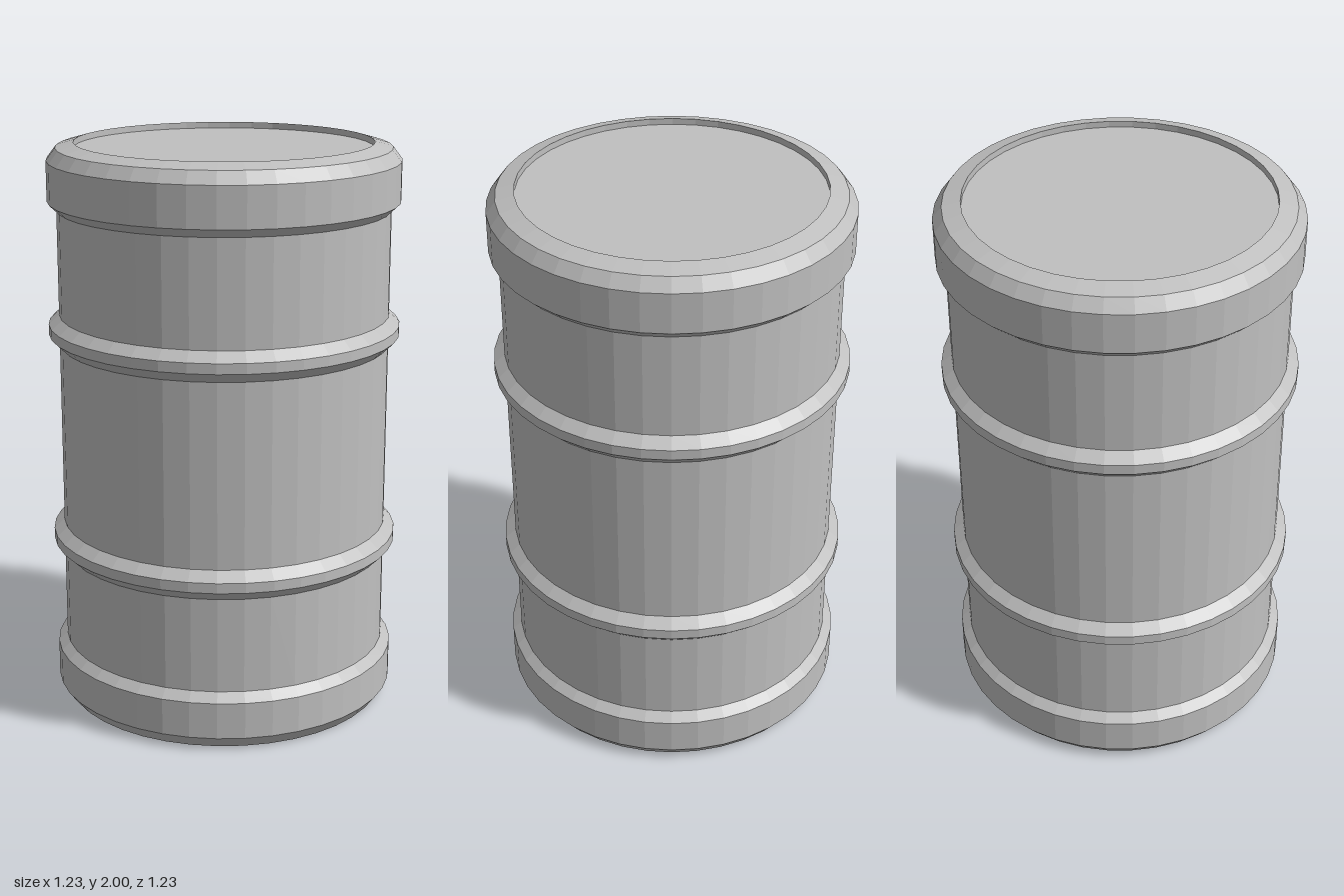
import * as THREE from 'three';

const SIDES = 40;
const BODY = 0.58, RIM = 0.612, HOOP = 0.617;

export function createModel() {
  const drum = new THREE.Group();
  drum.name = 'drum';
  const steel = new THREE.MeshStandardMaterial({ color: 0xc0c0c0 });
  steel.name = 'grey steel';

  // Faceted surface of revolution; profile points run from bottom to top
  const turn = (name, profile) => {
    const points = profile.map(([r, y]) => new THREE.Vector2(r, y));
    const geometry = new THREE.LatheGeometry(points, SIDES).toNonIndexed();
    geometry.computeVertexNormals();
    const mesh = new THREE.Mesh(geometry, steel);
    mesh.name = name;
    drum.add(mesh);
  };

  // Bottom cap with its bevelled band
  turn('bottomRim', [[0, 0], [0.578, 0], [RIM, 0.045], [RIM, 0.175], [BODY, 0.205]]);

  // Straight wall sections between the bands
  [[0.205, 0.543], [0.648, 1.297], [1.4, 1.77]].forEach(([low, high], i) =>
    turn(`wall${i + 1}`, [[BODY, low], [BODY, high]]));

  // Two raised rolling hoops
  [['lowerHoop', 0.543], ['upperHoop', 1.297]].forEach(([name, y]) =>
    turn(name, [[BODY, y], [HOOP, y + 0.036], [HOOP, y + 0.072], [BODY, y + 0.105]]));

  // Top band, bevelled lip and the short step down to the lid
  turn('topRim', [[BODY, 1.77], [RIM, 1.8], [RIM, 1.94], [0.58, 1.982], [0.517, 2], [0.517, 1.978]]);

  // Recessed flat lid
  turn('lid', [[0.517, 1.978], [0, 1.978]]);

  return drum;
}
